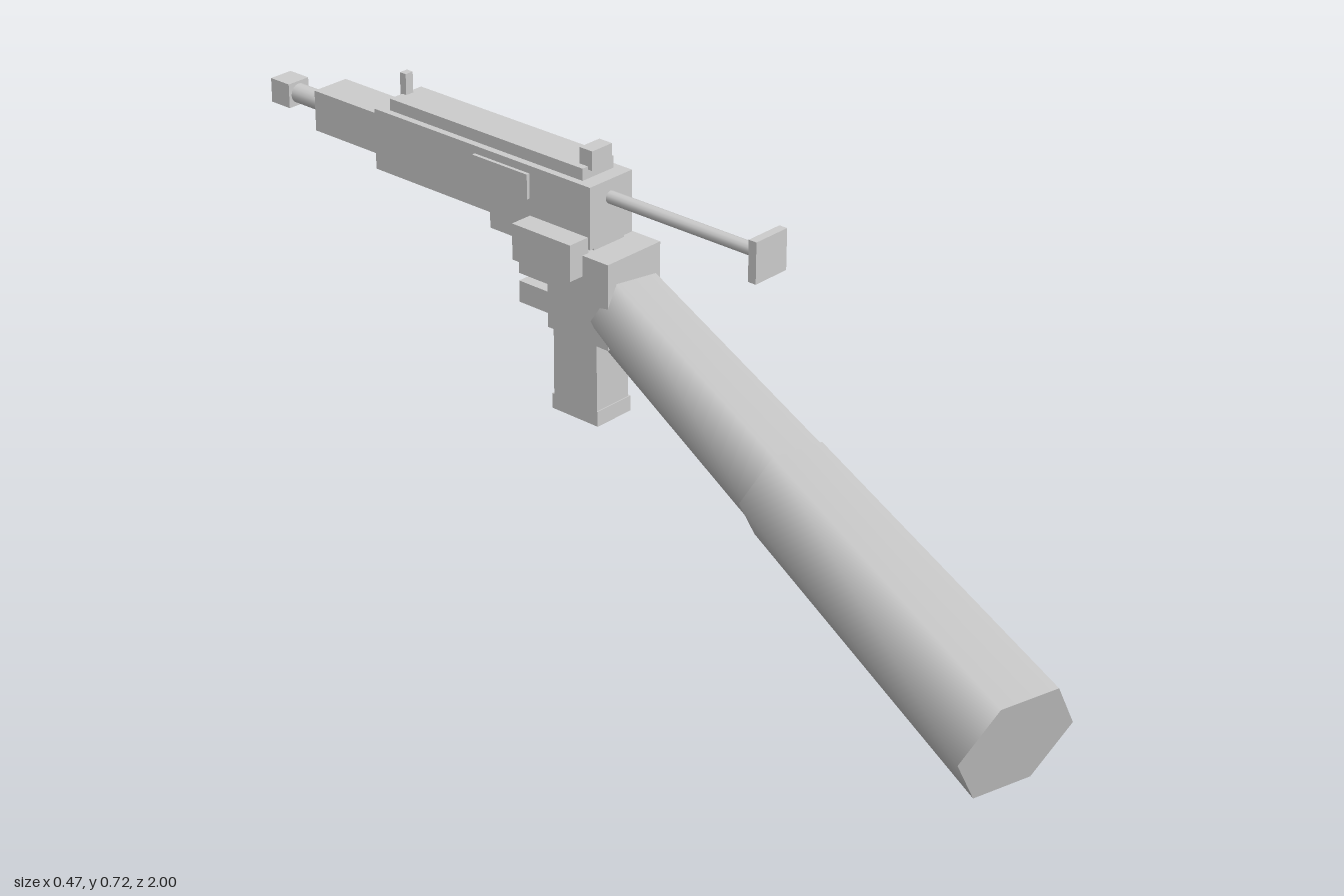
import * as THREE from 'three';

const grey = new THREE.MeshStandardMaterial({ color: 0xcccccc });
grey.name = 'light grey';

export function createModel() {
  const model = new THREE.Group();
  model.name = 'armWithGun';

  const add = (name, geometry) => {
    const mesh = new THREE.Mesh(geometry, grey);
    mesh.name = name;
    model.add(mesh);
    return mesh;
  };

  // box given by its limits on each axis
  const box = (name, [x0, x1], [y0, y1], [z0, z1]) =>
    add(name, new THREE.BoxGeometry(x1 - x0, y1 - y0, z1 - z0))
      .position.set((x0 + x1) / 2, (y0 + y1) / 2, (z0 + z1) / 2);

  // rod along z
  const rod = (name, x, y, z0, z1, r, sides) => {
    const g = new THREE.CylinderGeometry(r, r, z1 - z0, sides).rotateX(Math.PI / 2);
    add(name, g).position.set(x, y, (z0 + z1) / 2);
  };

  // six-sided tapered arm segment, corners pointing sideways
  const limb = (name, from, to, r0, r1) => {
    const a = new THREE.Vector3(...from), b = new THREE.Vector3(...to);
    const axis = b.clone().sub(a);
    const length = axis.length();
    axis.normalize();
    const side = new THREE.Vector3(axis.z, 0, -axis.x).normalize();
    const up = new THREE.Vector3().crossVectors(axis, side);
    const mesh = add(name, new THREE.CylinderGeometry(r1, r0, length, 6));
    mesh.quaternion.setFromRotationMatrix(new THREE.Matrix4().makeBasis(up, axis, side));
    mesh.position.copy(a).lerp(b, 0.5);
  };

  // arm
  limb('forearm', [0.143, 0.417, -0.1], [0.029, 0.275, 0.37], 0.083, 0.095);
  limb('sleeve', [0.03, 0.274, 0.363], [-0.125, 0.1, 0.963], 0.101, 0.116);

  // hand
  box('palm', [0.075, 0.212], [0.364, 0.53], [-0.235, -0.09]);
  box('thumb', [0.043, 0.09], [0.49, 0.56], [-0.29, -0.15]);
  box('middleFinger', [0.08, 0.212], [0.445, 0.49], [-0.31, -0.2]);
  box('ringFinger', [0.08, 0.208], [0.388, 0.43], [-0.31, -0.2]);
  box('knuckle', [0.19, 0.235], [0.487, 0.532], [-0.288, -0.238]);
  box('triggerFinger', [0.12, 0.165], [0.487, 0.532], [-0.42, -0.2]);

  // receiver
  box('receiver', [0.089, 0.198], [0.537, 0.656], [-0.682, -0.145]);
  box('receiverNeck', [0.105, 0.183], [0.52, 0.545], [-0.25, -0.15]);
  box('topRail', [0.103, 0.183], [0.65, 0.679], [-0.655, -0.175]);
  box('rearSight', [0.117, 0.168], [0.673, 0.71], [-0.195, -0.165]);
  box('frontSight', [0.135, 0.153], [0.67, 0.72], [-0.66, -0.645]);
  box('ejectionPort', [0.082, 0.095], [0.593, 0.641], [-0.425, -0.29]);
  box('selector', [0.19, 0.207], [0.558, 0.588], [-0.262, -0.22]);

  // barrel
  box('barrelShroud', [0.102, 0.182], [0.56, 0.64], [-0.857, -0.68]);
  rod('barrel', 0.142, 0.6, -1, -0.85, 0.019, 16);
  box('muzzle', [0.117, 0.167], [0.576, 0.624], [-0.994, -0.945]);

  // stock
  rod('stockRod', 0.142, 0.622, -0.15, 0.21, 0.012, 12);
  box('stockPad', [0.103, 0.183], [0.582, 0.66], [0.205, 0.222]);

  // magazine in the grip
  box('magazine', [0.1, 0.183], [0.2, 0.38], [-0.245, -0.14]);
  box('magazineBase', [0.1, 0.188], [0.187, 0.217], [-0.25, -0.138]);

  return model;
}
